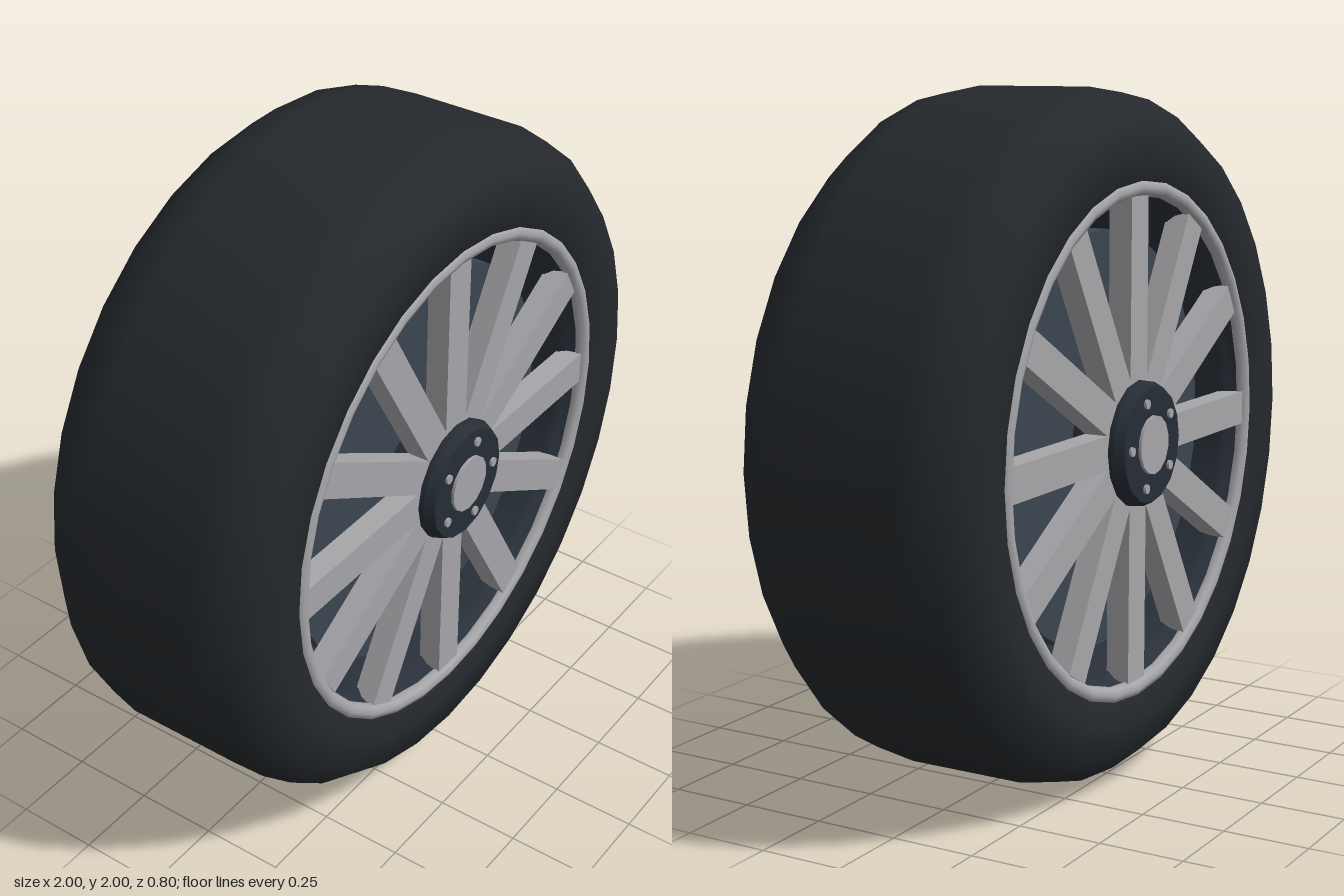
import * as THREE from 'three';

const mat = (color, extra = {}) => new THREE.MeshStandardMaterial({ color, ...extra });

export function createModel() {
  const wheel = new THREE.Group();
  wheel.name = 'wheel';
  const rubber = mat(0x24282c);
  const alloy = mat(0xa6a6aa);
  const dark = mat(0x262d36);
  const steel = mat(0x3b4650);
  const barrelMat = mat(0x2a313a, { side: THREE.DoubleSide });

  const add = (parent, name, geometry, material, x = 0, y = 0, z = 0) => {
    const mesh = new THREE.Mesh(geometry, material);
    mesh.name = name;
    mesh.position.set(x, y, z);
    parent.add(mesh);
    return mesh;
  };
  // Profile of [radius, z] pairs turned around the axle
  const turned = (profile, segments) =>
    new THREE.LatheGeometry(profile.map(([r, z]) => new THREE.Vector2(r, z)), segments).rotateX(Math.PI / 2);
  const disc = (radius, depth, segments) =>
    new THREE.CylinderGeometry(radius, radius, depth, segments).rotateX(Math.PI / 2);

  // Tyre with rounded shoulders and flat sidewalls
  const half = [[0.7, 0.31], [0.735, 0.35], [0.82, 0.357], [0.91, 0.355], [0.98, 0.27], [1, 0.18]];
  const tyreProfile = [...half.map(([r, z]) => [r, -z]), ...half.slice().reverse()];
  add(wheel, 'tyre', turned(tyreProfile, 32), rubber);

  // Shallow tread ribs across the crown
  const rib = new THREE.BoxGeometry(0.02, 0.03, 0.3);
  for (let i = 0; i < 32; i++) {
    const a = (i / 32) * Math.PI * 2;
    const mesh = add(wheel, 'treadRib', rib, rubber, -Math.sin(a) * 0.984, Math.cos(a) * 0.984);
    mesh.rotation.z = a;
  }

  // Rim barrel and the brake drum inside it
  const barrel = [[0.705, -0.33], [0.695, -0.3], [0.675, -0.28], [0.675, 0.28], [0.695, 0.3], [0.705, 0.33]];
  add(wheel, 'rimBarrel', turned(barrel, 32), barrelMat);
  add(wheel, 'brakeDrum', disc(0.605, 0.46, 32), steel);

  // Both faces carry the same rim ring, spokes, hub, cap and bolts
  const ring = new THREE.TorusGeometry(0.725, 0.025, 8, 32);
  const spoke = new THREE.BoxGeometry(0.1, 0.56, 0.07);
  const bolt = disc(0.014, 0.02, 8);
  const cap = disc(0.085, 0.02, 14);
  const hub = new THREE.CylinderGeometry(0.168, 0.182, 0.03, 16).rotateX(Math.PI / 2);
  const hubBase = disc(0.182, 0.16, 16);
  for (const side of [1, -1]) {
    const face = new THREE.Group();
    face.name = side > 0 ? 'frontFace' : 'backFace';
    face.rotation.y = side > 0 ? 0 : Math.PI;
    wheel.add(face);
    add(face, 'rimRing', ring, alloy, 0, 0, 0.334);
    for (let i = 0; i < 12; i++) {
      const a = (i / 12) * Math.PI * 2;
      const mesh = add(face, 'spoke', spoke, alloy, -Math.sin(a) * 0.42, Math.cos(a) * 0.42, 0.31);
      mesh.rotation.z = a;
    }
    add(face, 'hubBase', hubBase, dark, 0, 0, 0.28);
    add(face, 'hub', hub, dark, 0, 0, 0.375);
    add(face, 'hubCap', cap, alloy, 0, 0, 0.389);
    for (let i = 0; i < 5; i++) {
      const a = (i / 5) * Math.PI * 2;
      add(face, 'wheelBolt', bolt, alloy, side * Math.cos(a) * 0.128, Math.sin(a) * 0.128, 0.388);
    }
  }

  // Stand the wheel on the ground
  wheel.position.y = 1;
  const model = new THREE.Group();
  model.name = 'roadWheel';
  model.add(wheel);
  return model;
}
